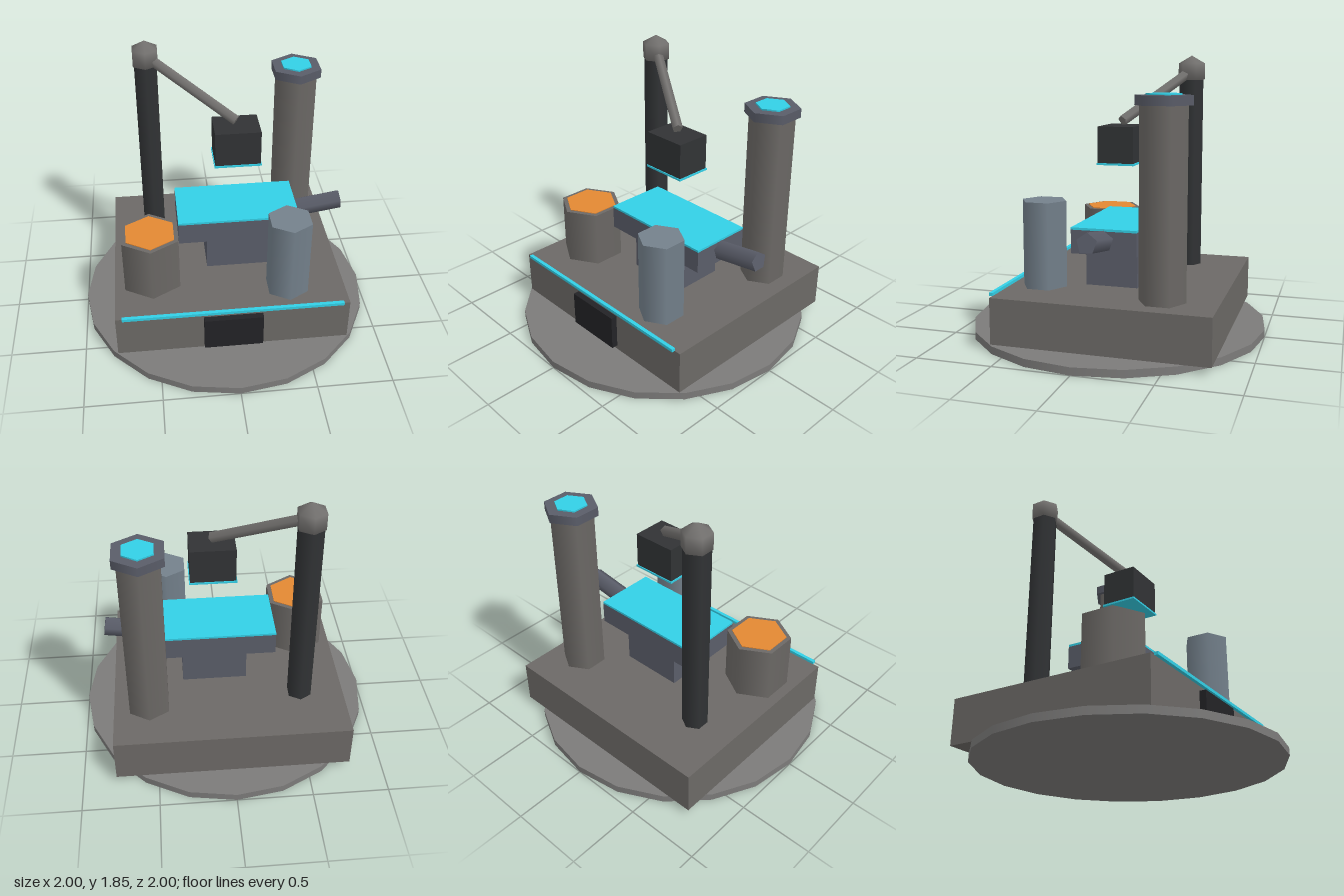
import * as THREE from 'three';

const mat = (color) => new THREE.MeshStandardMaterial({ color });
const M = {
  plate: mat(0x7c7b7a), body: mat(0x6c6966), slate: mat(0x5a5d69), glass: mat(0x74818c),
  dark: mat(0x313335), black: mat(0x232326), cyan: mat(0x33cfe6), orange: mat(0xe38833), joint: mat(0x747270),
};

export function createModel() {
  const root = new THREE.Group();

  const add = (name, geometry, material) => {
    const mesh = new THREE.Mesh(geometry, material);
    mesh.name = name;
    root.add(mesh);
    return mesh;
  };
  // Box from its min and max on each axis
  const box = (name, material, [x0, x1], [y0, y1], [z0, z1]) =>
    add(name, new THREE.BoxGeometry(x1 - x0, y1 - y0, z1 - z0), material)
      .position.set((x0 + x1) / 2, (y0 + y1) / 2, (z0 + z1) / 2);
  // Upright prism from y0 to y1, corner towards +z
  const prism = (name, material, x, z, r, y0, y1, sides = 6) =>
    add(name, new THREE.CylinderGeometry(r, r, y1 - y0, sides), material)
      .position.set(x, (y0 + y1) / 2, z);
  // Five-sided rod between two points, one corner kept uppermost
  const rod = (name, material, a, b, r) => {
    const from = new THREE.Vector3(...a), to = new THREE.Vector3(...b);
    const geometry = new THREE.CylinderGeometry(r, r, from.distanceTo(to), 5);
    const along = to.clone().sub(from).normalize();
    const side = new THREE.Vector3().crossVectors(along, new THREE.Vector3(0, 1, 0)).normalize();
    const up = new THREE.Vector3().crossVectors(side, along);
    geometry.applyMatrix4(new THREE.Matrix4().makeBasis(side, along, up));
    add(name, geometry, material).position.copy(from).add(to).multiplyScalar(0.5);
  };

  // Base
  prism('basePlate', M.plate, 0, 0, 1, 0, 0.05, 20);
  box('baseBlock', M.body, [-0.78, 0.78], [0.05, 0.35], [-0.785, 0.61]);
  box('frontLightStrip', M.cyan, [-0.735, 0.735], [0.35, 0.37], [0.607, 0.632]);
  box('frontPanel', M.black, [-0.2, 0.193], [0.08, 0.318], [0.6, 0.653]);

  // Work table with a side handle
  box('tablePedestal', M.slate, [-0.135, 0.305], [0.35, 0.6], [-0.21, 0.135]);
  box('tableSlab', M.slate, [-0.328, 0.498], [0.6, 0.752], [-0.258, 0.172]);
  box('tableTop', M.cyan, [-0.328, 0.498], [0.752, 0.767], [-0.258, 0.172]);
  rod('sideHandle', M.slate, [0.42, 0.677, -0.043], [0.82, 0.741, -0.043], 0.067);

  // Tall column with cap
  prism('column', M.body, 0.543, -0.433, 0.15, 0.35, 1.55);
  prism('columnCap', M.slate, 0.543, -0.433, 0.18, 1.54, 1.6);
  prism('columnLight', M.cyan, 0.543, -0.433, 0.11, 1.6, 1.61);

  // Pot and canister
  prism('pot', M.body, -0.523, 0.215, 0.216, 0.35, 0.74);
  prism('potFill', M.orange, -0.523, 0.215, 0.184, 0.735, 0.745);
  prism('canister', M.glass, 0.388, 0.392, 0.151, 0.35, 0.915);

  // Mast, joint and arm
  prism('mast', M.dark, -0.481, -0.388, 0.086, 0.35, 1.69);
  const ball = new THREE.SphereGeometry(0.109, 6, 3).rotateY(Math.PI / 2);
  add('mastJoint', ball, M.joint).position.set(-0.481, 1.738, -0.39);
  rod('arm', M.joint, [-0.48, 1.745, -0.39], [0.085, 1.416, -0.045], 0.036);

  // Hanging head
  box('head', M.dark, [-0.066, 0.235], [1.148, 1.385], [-0.16, 0.078]);
  box('headLight', M.cyan, [-0.072, 0.241], [1.135, 1.148], [-0.166, 0.084]);

  return root;
}
